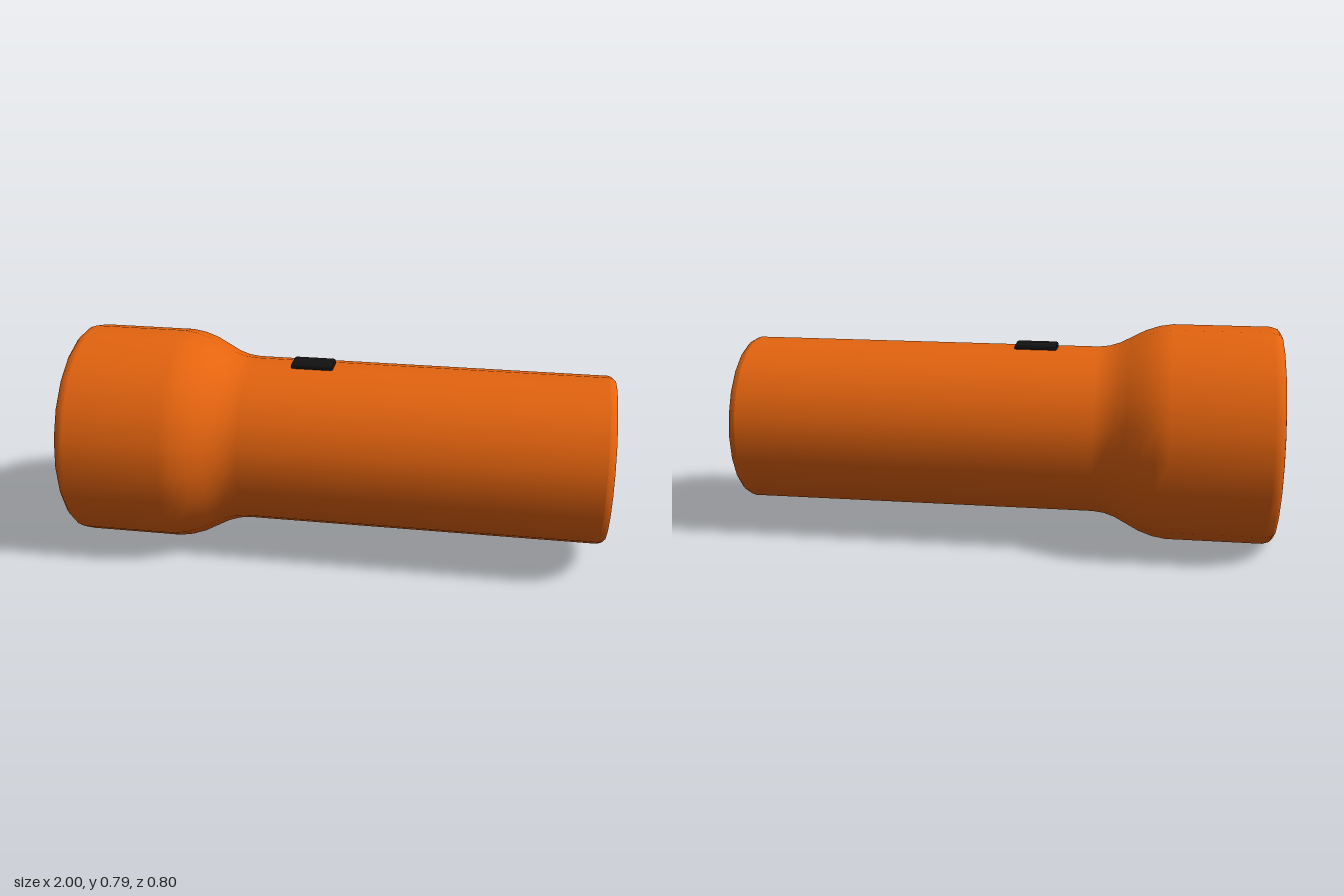
import * as THREE from 'three';

const SIDES = 22;
const AXIS_HEIGHT = 0.4;

export function createModel() {
  const orange = new THREE.MeshStandardMaterial({ color: 0xe5640f });
  orange.name = 'orange casing';
  const glass = new THREE.MeshStandardMaterial({ color: 0xe8e8e8 });
  glass.name = 'pale lens';
  const black = new THREE.MeshStandardMaterial({ color: 0x111111 });
  black.name = 'black switch';

  const group = new THREE.Group();
  group.name = 'flashlight';

  const add = (name, geometry, material) => {
    const mesh = new THREE.Mesh(geometry, material);
    mesh.name = name;
    group.add(mesh);
    return mesh;
  };

  // Turned part along x; the profile lists [x, radius] pairs
  const turned = (name, profile, material) => {
    const points = profile.map(([x, r]) => new THREE.Vector2(r, x));
    const geometry = new THREE.LatheGeometry(points, SIDES);
    geometry.rotateZ(-Math.PI / 2);
    geometry.translate(0, AXIS_HEIGHT, 0);
    return add(name, geometry, material);
  };

  // Rounded rim, wide head, curved neck and straight handle
  turned('casing', [
    [-0.965, 0.305], [-0.978, 0.315], [-0.987, 0.335], [-0.99, 0.355],
    [-0.987, 0.378], [-0.975, 0.392], [-0.95, 0.4],
    [-0.6, 0.4], [-0.55, 0.392], [-0.5, 0.375], [-0.45, 0.349],
    [-0.41, 0.328], [-0.37, 0.315], [-0.33, 0.31], [0.975, 0.31],
  ], orange);

  // Bevelled edge and flat end of the handle
  turned('tailBevel', [[0.975, 0.31], [0.99, 0.306], [1, 0.296]], orange);
  turned('tailCap', [[1, 0.296], [1, 0]], orange);

  // Gently domed lens
  turned('lens', [
    [-1, 0], [-0.998, 0.08], [-0.993, 0.16], [-0.984, 0.24], [-0.972, 0.31],
  ], glass);

  // Sliding switch with softened upper edges
  const w = 0.045, bottom = 0.695, top = 0.723;
  const section = new THREE.Shape();
  section.moveTo(-w, bottom);
  section.lineTo(w, bottom);
  section.lineTo(w, top - 0.01);
  section.quadraticCurveTo(w, top, w - 0.01, top);
  section.lineTo(-w + 0.01, top);
  section.quadraticCurveTo(-w, top, -w, top - 0.01);
  section.closePath();
  const switchGeometry = new THREE.ExtrudeGeometry(section, {
    depth: 0.14, curveSegments: 3,
    bevelEnabled: true, bevelThickness: 0.008, bevelSize: 0.008, bevelOffset: -0.008, bevelSegments: 2,
  });
  switchGeometry.rotateY(Math.PI / 2);
  switchGeometry.translate(-0.17, 0, 0);
  add('switch', switchGeometry, black);

  return group;
}
